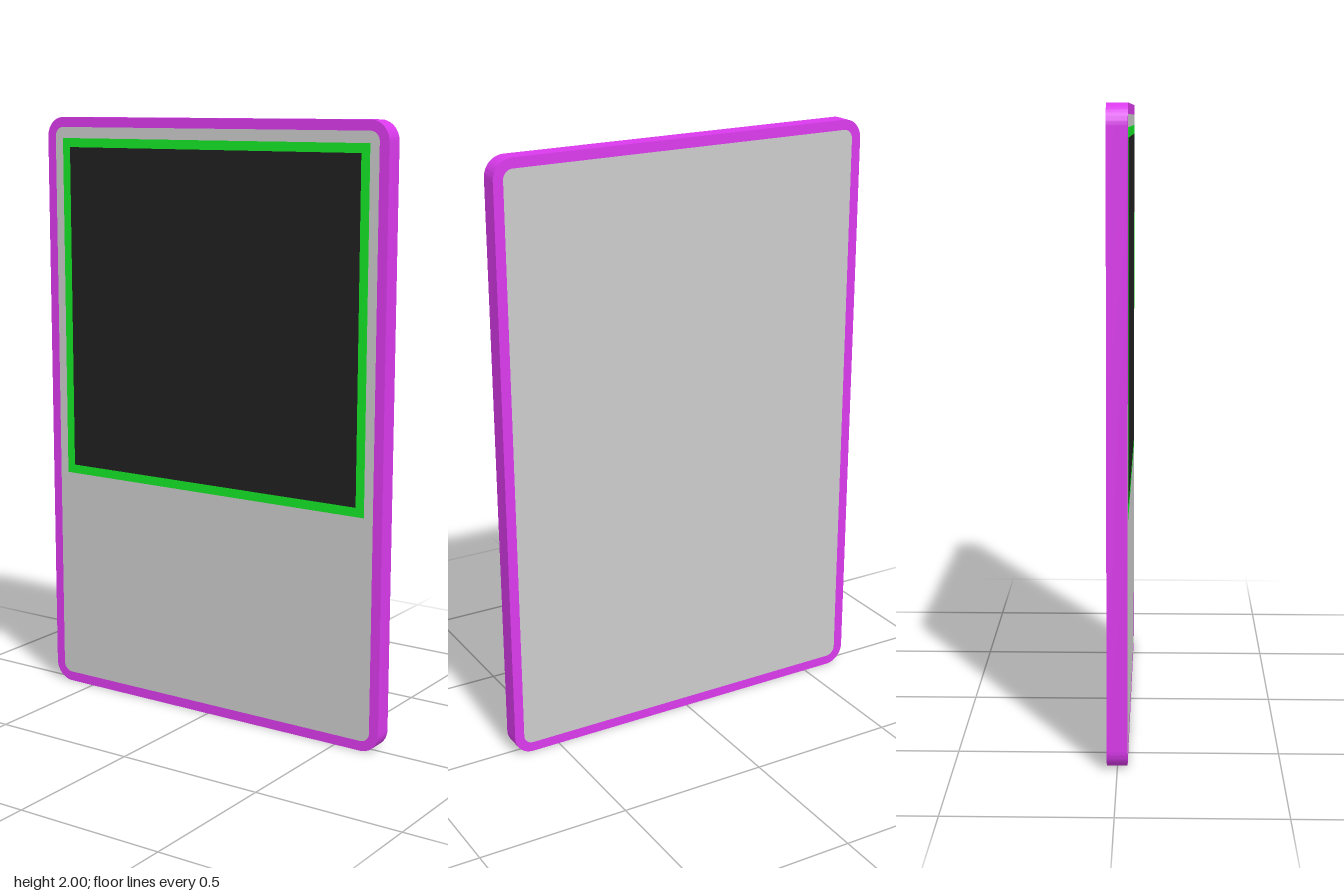
import * as THREE from 'three';
import { toCreasedNormals } from 'three/addons/utils/BufferGeometryUtils.js';

// Rounded (or square, r = 0) rectangle outline centred on x = 0
function outline(halfWidth, y0, y1, r, Kind = THREE.Shape) {
  const s = new Kind();
  const corners = [
    [halfWidth - r, y0 + r, -Math.PI / 2],
    [halfWidth - r, y1 - r, 0],
    [-halfWidth + r, y1 - r, Math.PI / 2],
    [-halfWidth + r, y0 + r, Math.PI],
  ];
  corners.forEach(([x, y, a], i) => {
    if (r > 0) s.absarc(x, y, r, a, a + Math.PI / 2, false);
    else if (i === 0) s.moveTo(x, y);
    else s.lineTo(x, y);
  });
  s.closePath();
  return s;
}

export function createModel() {
  const model = new THREE.Group();
  model.name = 'tablet';

  function slab(name, color, shape, z0, z1, hole) {
    if (hole) shape.holes.push(hole);
    const geo = new THREE.ExtrudeGeometry(shape, { depth: z1 - z0, bevelEnabled: false, curveSegments: 10 });
    geo.translate(0, 0, z0);
    const mesh = new THREE.Mesh(toCreasedNormals(geo, 0.6), new THREE.MeshStandardMaterial({ color }));
    mesh.name = name;
    model.add(mesh);
  }

  const back = -0.032, face = 0.031, front = 0.032;

  // Rounded rim around the body, with the grey panel set flush inside it
  slab('rim', 0xda3aec, outline(0.66, 0, 2, 0.065), back, face,
    outline(0.627, 0.033, 1.967, 0.032, THREE.Path));
  slab('bodyPanel', 0xcccccc, outline(0.627, 0.033, 1.967, 0.032), back, face);

  // Screen and its border, barely proud of the panel
  slab('screenBorder', 0x14e628, outline(0.595, 0.77, 1.93, 0), face, front,
    outline(0.565, 0.8, 1.9, 0, THREE.Path));
  slab('screen', 0x202020, outline(0.565, 0.8, 1.9, 0), face, front);

  return model;
}
